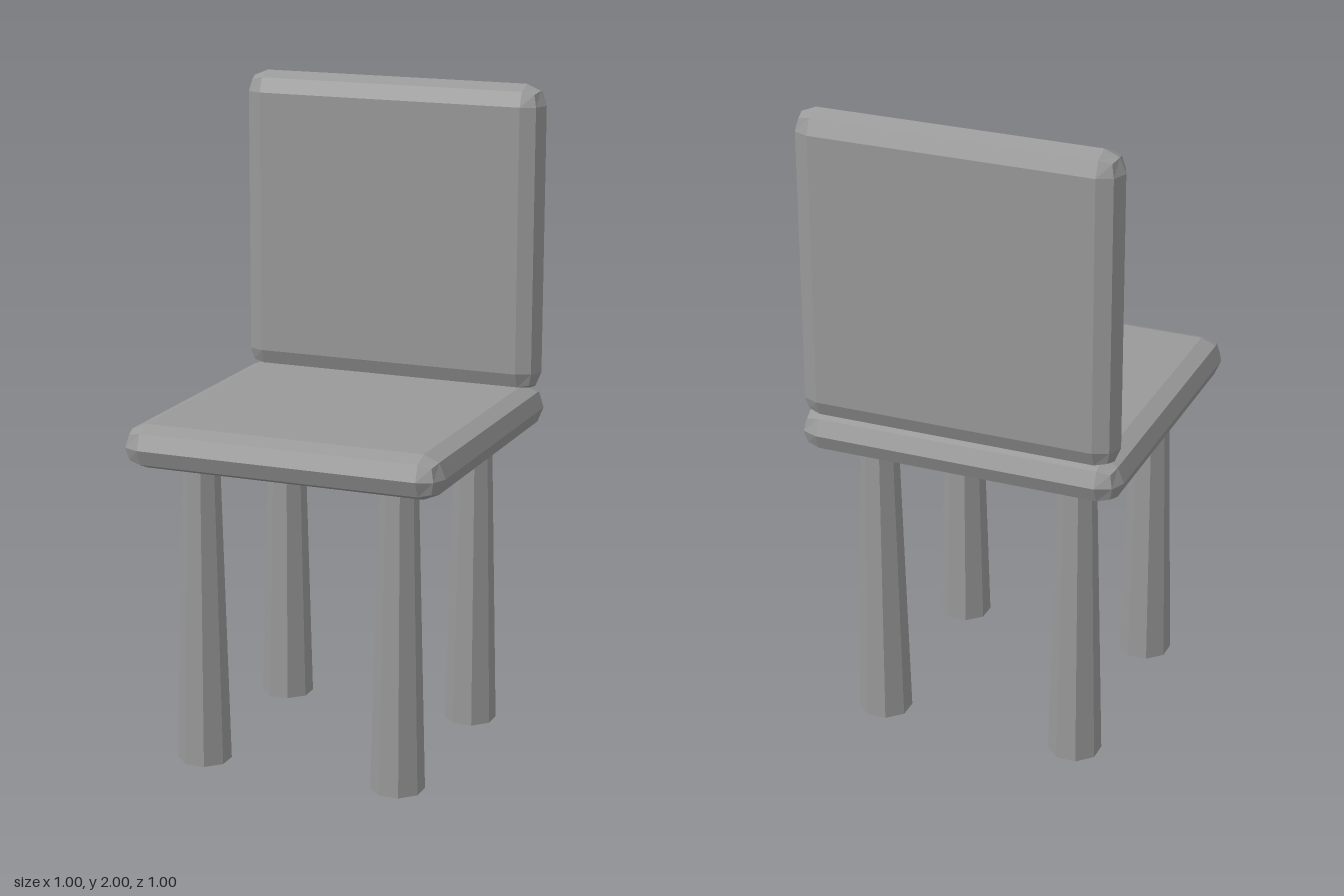
import * as THREE from 'three';
import { RoundedBoxGeometry } from 'three/addons/geometries/RoundedBoxGeometry.js';

export function createModel() {
  const model = new THREE.Group();
  model.name = 'chair';

  const grey = new THREE.MeshStandardMaterial({ color: 0x999999, flatShading: true });
  grey.name = 'grey';

  const add = (name, geometry, x, y, z) => {
    const mesh = new THREE.Mesh(geometry, grey);
    mesh.name = name;
    mesh.position.set(x, y, z);
    model.add(mesh);
  };

  // Cushion-like slabs with a two-step bevel
  add('seat', new RoundedBoxGeometry(1, 0.133, 1, 1, 0.0665), 0, 1.003, 0);
  add('backrest', new RoundedBoxGeometry(0.98, 0.95, 0.128, 1, 0.064), 0, 1.525, -0.436);

  // Four tapered octagonal legs, reaching slightly into the seat
  const legGeometry = new THREE.CylinderGeometry(0.056, 0.081, 0.95, 8);
  legGeometry.rotateY(Math.PI / 8);
  for (const [front, z] of [['front', 0.315], ['back', -0.315]]) {
    for (const [side, x] of [['Left', 0.315], ['Right', -0.315]]) {
      add(`${front}${side}Leg`, legGeometry, x, 0.475, z);
    }
  }

  return model;
}
